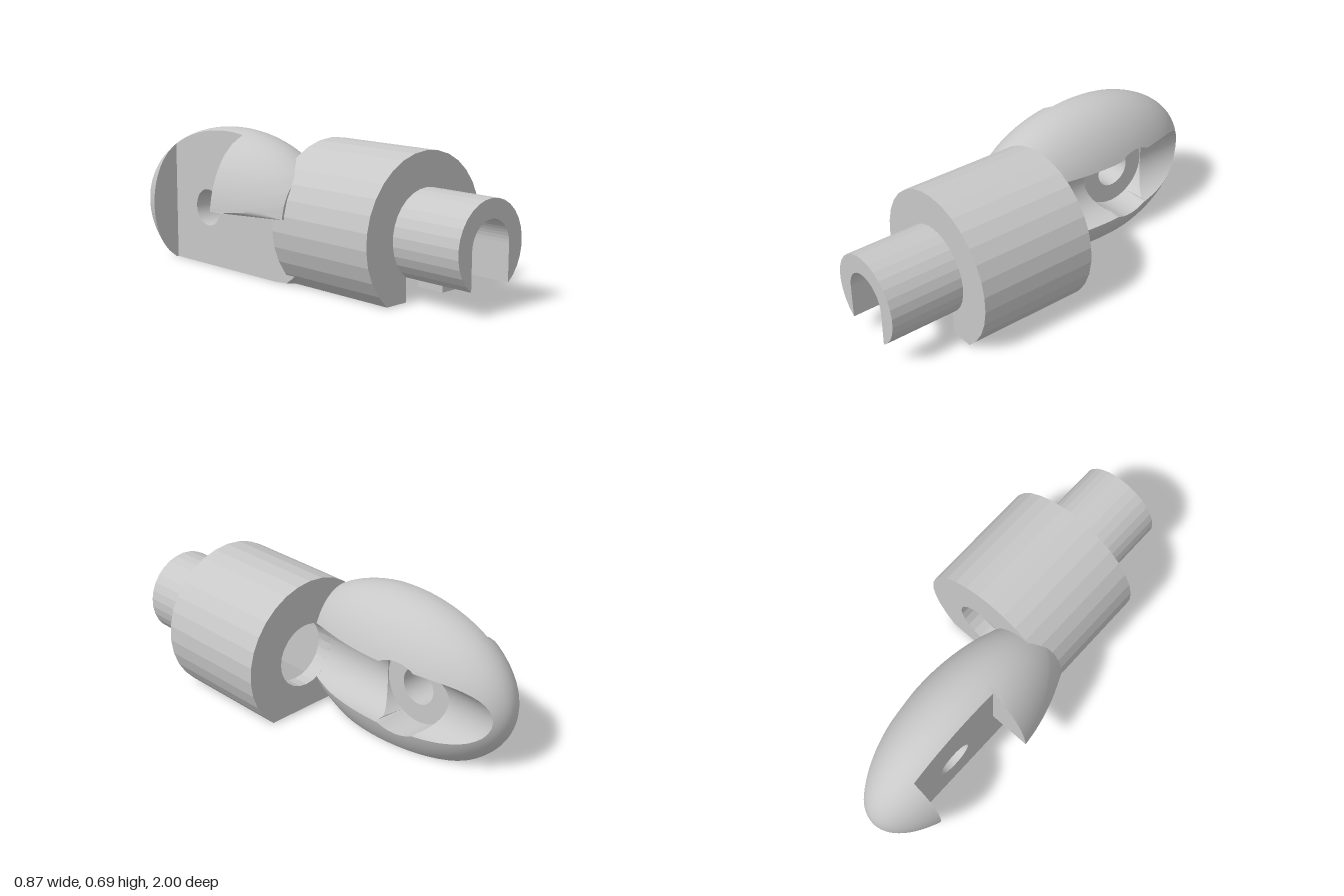
import * as THREE from 'three';
import { toCreasedNormals } from 'three/addons/utils/BufferGeometryUtils.js';

const CX = 0.06, CY = 0.287;                 // axis of collar and neck
const GROOVE = { x: 0.09, r: 0.16 };         // side groove and rear bore

// Round bar outline, cut at angle a0 below the axis, with an arched slot of half width w
function slottedShape(R, a0, w) {
  const yb = CY + R * Math.sin(a0);
  const s = new THREE.Shape();
  s.absarc(CX, CY, R, a0, Math.PI - a0, false);
  s.lineTo(CX - w, yb);
  s.lineTo(CX - w, CY);
  s.absarc(CX, CY, w, Math.PI, 0, true);
  s.lineTo(CX + w, yb);
  return s;
}

// Flat-bottomed disc with the round bore
function backWallShape(R, a0) {
  const s = new THREE.Shape();
  s.absarc(CX, CY, R, a0, Math.PI - a0, false);
  const bore = new THREE.Path();
  bore.absarc(GROOVE.x, CY, GROOVE.r, 0, Math.PI * 2, true);
  s.holes.push(bore);
  return s;
}

// Distance between r0 and r1 where f turns negative, or r1 if it does not
function crossing(f, r0, r1) {
  if (f(r1) >= 0) return r1;
  for (let i = 0; i < 40; i++) {
    const mid = (r0 + r1) / 2;
    if (f(mid) > 0) r0 = mid; else r1 = mid;
  }
  return r0;
}

// Ellipsoid knuckle: one closed cross-section per ray around the pin hole
function knuckleGeometry() {
  const E = { x: -0.16, z: -0.38, rx: 0.28, ry: 0.405, rz: 0.62 };
  const pinZ = -0.53, hole = 0.09, bore = 0.185, boreX = -0.074;
  const notch = { x: -0.23, z0: -0.78, z1: -0.265, y: 0.33 };
  const zEnd = 0.115;

  const half = (z, y) => E.rx * Math.sqrt(Math.max(0,
    1 - ((z - E.z) / E.rz) ** 2 - ((y - CY) / E.ry) ** 2));
  const outerRight = (z, y) => E.x + half(z, y);
  const outerLeft = (z, y) => E.x - half(z, y);
  const grooveX = (z, y) => GROOVE.x - Math.sqrt(Math.max(0, GROOVE.r ** 2 - (y - CY) ** 2));

  // distance along a ray to the outline
  const rim = (c, s) => {
    const d = pinZ - E.z;
    const A = (c / E.rz) ** 2 + (s / E.ry) ** 2;
    const B = d * c / E.rz ** 2, C = (d / E.rz) ** 2 - 1;
    let r = (-B + Math.sqrt(B * B - A * C)) / A;
    if (s < 0) r = Math.min(r, CY / -s);
    if (c > 0) r = Math.min(r, (zEnd - pinZ) / c);
    return r;
  };
  // distance along a ray to the edge of the notch
  const notchEdge = (c, s) => {
    if (c < -1e-6) return (notch.z0 - pinZ) / c;
    if (c < 1e-6 || s <= 0) return 9;
    const side = (notch.z1 - pinZ) / c;
    return side * s >= notch.y - CY - 1e-6 ? side : (notch.y - CY) / s;
  };

  // even rays, plus a close pair around every corner
  const angles = [];
  for (let i = 0; i < 96; i++) angles.push(-Math.PI + i * Math.PI / 48);
  const zFlat = E.rz * Math.sqrt(1 - (CY / E.ry) ** 2);
  const rise = (z, depth) => E.ry * Math.sqrt(1 - ((z - E.z) / E.rz) ** 2 - (depth / E.rx) ** 2);
  const cut = E.x - notch.x;
  [[notch.z1, notch.y], [notch.z0, 0], [E.z + zFlat, 0], [E.z - zFlat, 0],
    [zEnd, CY + rise(zEnd, 0)], [zEnd, CY - rise(zEnd, 0)], [zEnd, notch.y],
    [zEnd, CY + GROOVE.r], [zEnd, CY - GROOVE.r],
    [notch.z0, CY + rise(notch.z0, cut)], [notch.z1, CY + rise(notch.z1, cut)],
  ].forEach(([z, y]) => {
    const a = Math.atan2(y - CY, z - pinZ);
    angles.push(a - 1e-4, a + 1e-4);
  });
  angles.sort((a, b) => a - b);

  const section = a => {
    const c = Math.cos(a), s = Math.sin(a), R = rim(c, s);
    const along = f => r => f(pinZ + r * c, CY + r * s);
    const trace = (breaks, surfaces, n) => {
      const pts = [];
      surfaces.forEach((surface, k) => {
        const length = breaks[k + 1] - breaks[k];
        for (let j = 0; j <= n; j++) {
          const t = k ? Math.sin(j / n * Math.PI / 2) : j / n;
          const r = breaks[k] + length * t;
          const x = k && length < 1e-6 ? pts[pts.length - 1][0] : along(surface)(r);
          pts.push([x, CY + r * s, pinZ + r * c]);
        }
      });
      return pts;
    };
    const grooveEnd = crossing(along((z, y) => outerRight(z, y) - grooveX(z, y)), bore,
      Math.min(R, Math.max(bore, GROOVE.r / Math.max(1e-6, Math.abs(s)))));
    const notchEnd = crossing(along((z, y) => half(z, y) - cut), hole,
      Math.min(R, notchEdge(c, s)));
    const right = trace([hole, bore, grooveEnd, R], [() => boreX, grooveX, outerRight], 14);
    const left = trace([hole, notchEnd, R], [() => notch.x, outerLeft], 14);
    return right.concat(left.reverse());
  };

  const loops = angles.map(section), m = loops[0].length, n = loops.length;
  const index = [];
  for (let i = 0; i < n; i++) {
    for (let j = 0; j < m; j++) {
      const a = i * m + j, b = ((i + 1) % n) * m + j;
      const d = i * m + (j + 1) % m, e = ((i + 1) % n) * m + (j + 1) % m;
      index.push(a, b, e, a, e, d);
    }
  }
  const g = new THREE.BufferGeometry();
  g.setAttribute('position', new THREE.Float32BufferAttribute(loops.flat(2), 3));
  g.setIndex(index);
  // enlarged while creasing, so that only coincident points share normals
  g.scale(100, 100, 100);
  return toCreasedNormals(g, 0.5).scale(0.01, 0.01, 0.01);
}

export function createModel() {
  const grey = new THREE.MeshStandardMaterial({ color: 0xc8c8c8 });
  grey.name = 'plain grey';
  const model = new THREE.Group();
  model.name = 'slottedKnuckleJoint';

  const add = (name, geometry) => {
    const mesh = new THREE.Mesh(geometry, grey);
    mesh.name = name;
    model.add(mesh);
  };
  const slab = (name, shape, z0, z1) => {
    const g = new THREE.ExtrudeGeometry(shape, { depth: z1 - z0, bevelEnabled: false, curveSegments: 12 });
    add(name, g.translate(0, 0, z0));
  };

  // Collar: bored back wall, wide pocket, narrow front lip
  const R = 0.377, flat = -Math.asin(CY / R), slot = 0.124;
  slab('collarBackWall', backWallShape(R, flat), 0.04, 0.12);
  slab('collarPocket', slottedShape(R, flat, 0.2), 0.12, 0.485);
  slab('collarFrontLip', slottedShape(R, flat, slot), 0.485, 0.635);

  // Neck, open below along the slot
  const neckR = 0.213;
  slab('neck', slottedShape(neckR, -Math.acos(slot / neckR), slot), 0.635, 1);

  // Rounded rear knuckle with groove, pin hole and notch
  add('knuckle', knuckleGeometry());
  return model;
}
